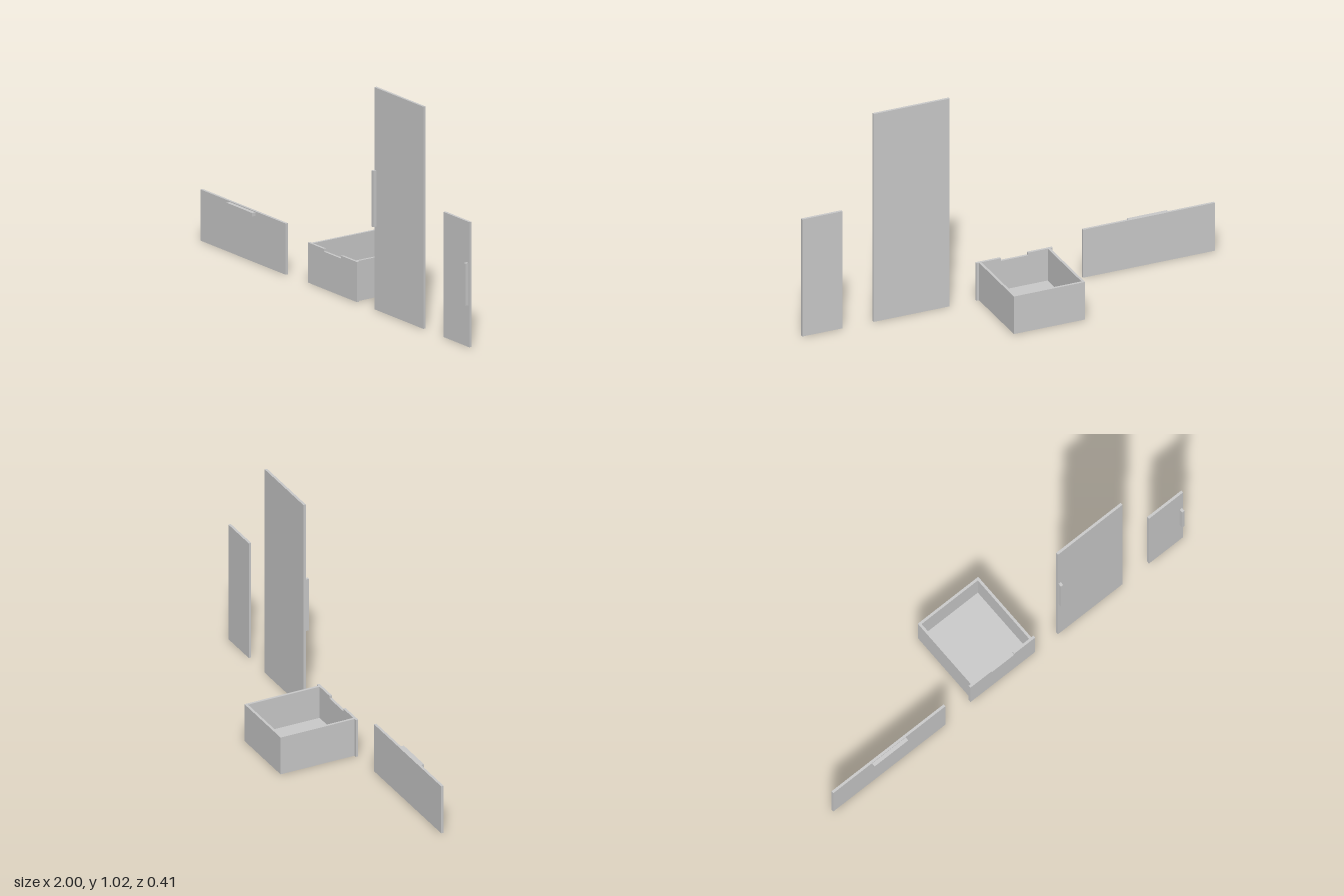
import * as THREE from 'three';

const material = new THREE.MeshStandardMaterial({ color: 0xcccccc });

// Box given by its min and max corners
function block(name, [x0, y0, z0], [x1, y1, z1]) {
  const geometry = new THREE.BoxGeometry(x1 - x0, y1 - y0, z1 - z0);
  geometry.translate((x0 + x1) / 2, (y0 + y1) / 2, (z0 + z1) / 2);
  const mesh = new THREE.Mesh(geometry, material);
  mesh.name = name;
  return mesh;
}

// Flat panel with a bar handle on its front face
function panelWithHandle(name, x, height, back, handleX, handleY, reach) {
  const front = back + 0.012;
  const group = new THREE.Group();
  group.name = name;
  group.add(
    block('panel', [x[0], 0, back], [x[1], height, front]),
    block('handle', [handleX[0], handleY[0], front], [handleX[1], handleY[1], front + reach])
  );
  return group;
}

function createDrawer() {
  const drawer = new THREE.Group();
  drawer.name = 'drawer';
  const left = -0.198, right = 0.146, back = -0.203, front = 0.163;
  const height = 0.184, wall = 0.012, floor = 0.028;

  // Open box behind the front
  drawer.add(
    block('drawerFloor', [left + wall, 0, back + wall], [right - wall, floor, front]),
    block('drawerSide', [left, 0, back], [left + wall, height, front]),
    block('drawerSide', [right - wall, 0, back], [right, height, front]),
    block('drawerBack', [left + wall, 0, back], [right - wall, height, back + wall])
  );

  // Front with a finger notch in the top edge
  const outline = new THREE.Shape([
    [-0.21, 0], [0.158, 0], [0.158, height], [0.039, height],
    [0.039, 0.171], [-0.091, 0.171], [-0.091, height], [-0.21, height],
  ].map(([x, y]) => new THREE.Vector2(x, y)));
  const panel = new THREE.Mesh(
    new THREE.ExtrudeGeometry(outline, { depth: 0.012, bevelEnabled: false }), material);
  panel.position.z = front;
  panel.name = 'drawerFront';
  drawer.add(panel);
  return drawer;
}

export function createModel() {
  const model = new THREE.Group();
  model.name = 'cabinetFronts';
  model.add(
    panelWithHandle('wideDrawerFront', [-1, -0.362], 0.235, 0.174, [-0.78, -0.588], [0.215, 0.231], 0.018),
    createDrawer(),
    panelWithHandle('tallDoor', [0.288, 0.655], 1.019, 0.163, [0.291, 0.304], [0.383, 0.641], 0.017),
    panelWithHandle('smallDoor', [0.806, 1], 0.574, 0.163, [0.981, 0.994], [0.192, 0.386], 0.017)
  );
  return model;
}
